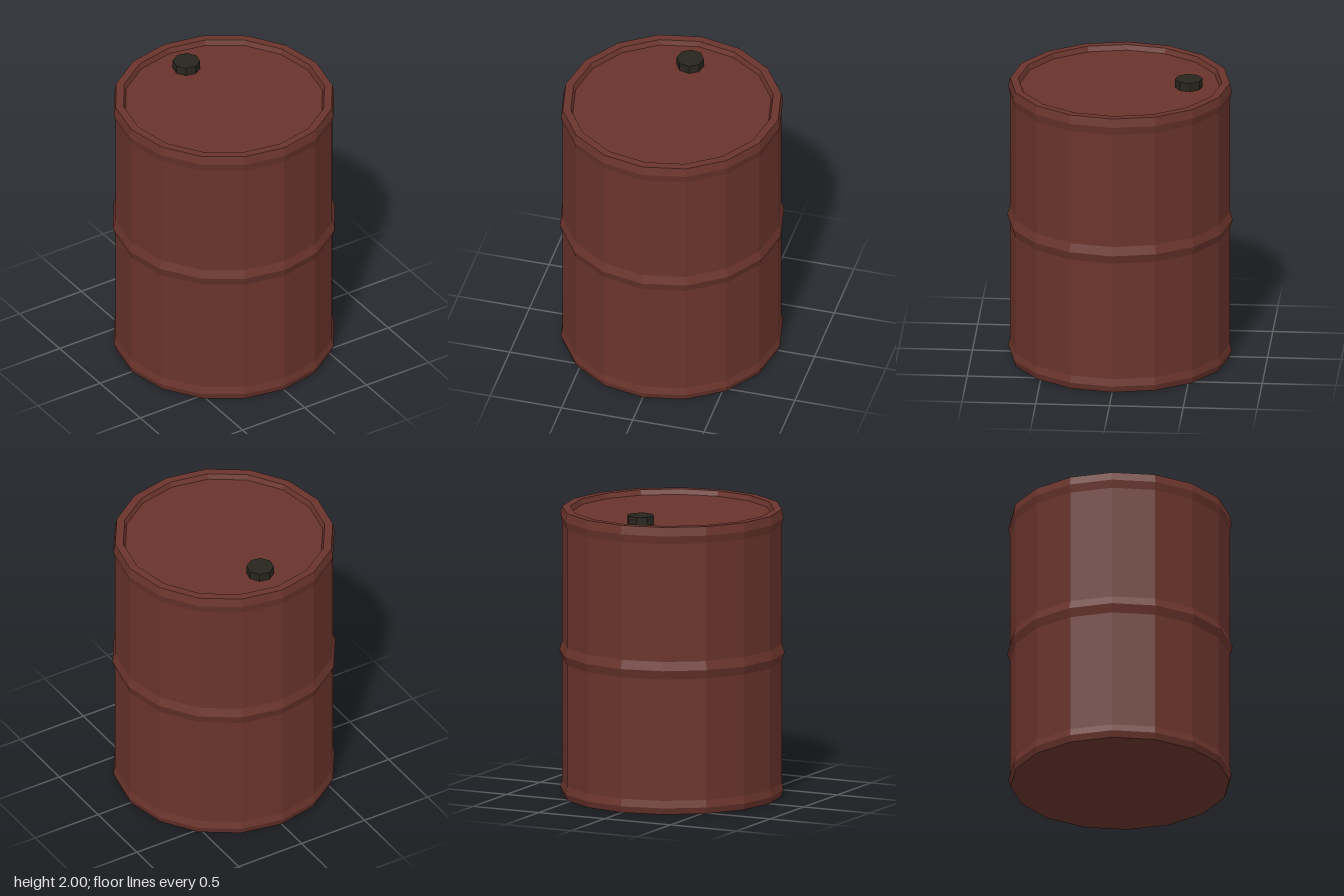
import * as THREE from 'three';

const SIDES = 16;
const paint = new THREE.MeshStandardMaterial({ color: 0x6a342c, flatShading: true });
const dark = new THREE.MeshStandardMaterial({ color: 0x28251d, flatShading: true });

// Turned faceted part from [radius, height] pairs
function turned(name, profile) {
  const points = profile.map(([r, y]) => new THREE.Vector2(r, y));
  const mesh = new THREE.Mesh(new THREE.LatheGeometry(points, SIDES), paint);
  mesh.name = name;
  return mesh;
}

export function createModel() {
  const model = new THREE.Group();
  model.name = 'barrel';

  // Wall with bottom, middle and top ridges
  model.add(turned('wall', [
    [0.742, 0], [0.757, 0.045], [0.745, 0.095],
    [0.745, 0.93], [0.764, 0.99], [0.745, 1.05],
    [0.745, 1.86], [0.757, 1.915], [0.745, 1.975],
  ]));
  model.add(turned('base', [[0, 0], [0.742, 0]]));

  // Top rim with its inner slope, and the recessed lid
  model.add(turned('rim', [[0.745, 1.975], [0.69, 1.975], [0.676, 1.94]]));
  model.add(turned('lid', [[0.676, 1.94], [0, 1.94]]));

  // Eight-sided filler cap near the back edge
  const cap = new THREE.Mesh(new THREE.CylinderGeometry(0.093, 0.093, 0.06, 8), dark);
  cap.name = 'fillerCap';
  cap.position.set(0, 1.97, -0.466);
  cap.rotation.y = THREE.MathUtils.degToRad(10);
  model.add(cap);

  return model;
}
